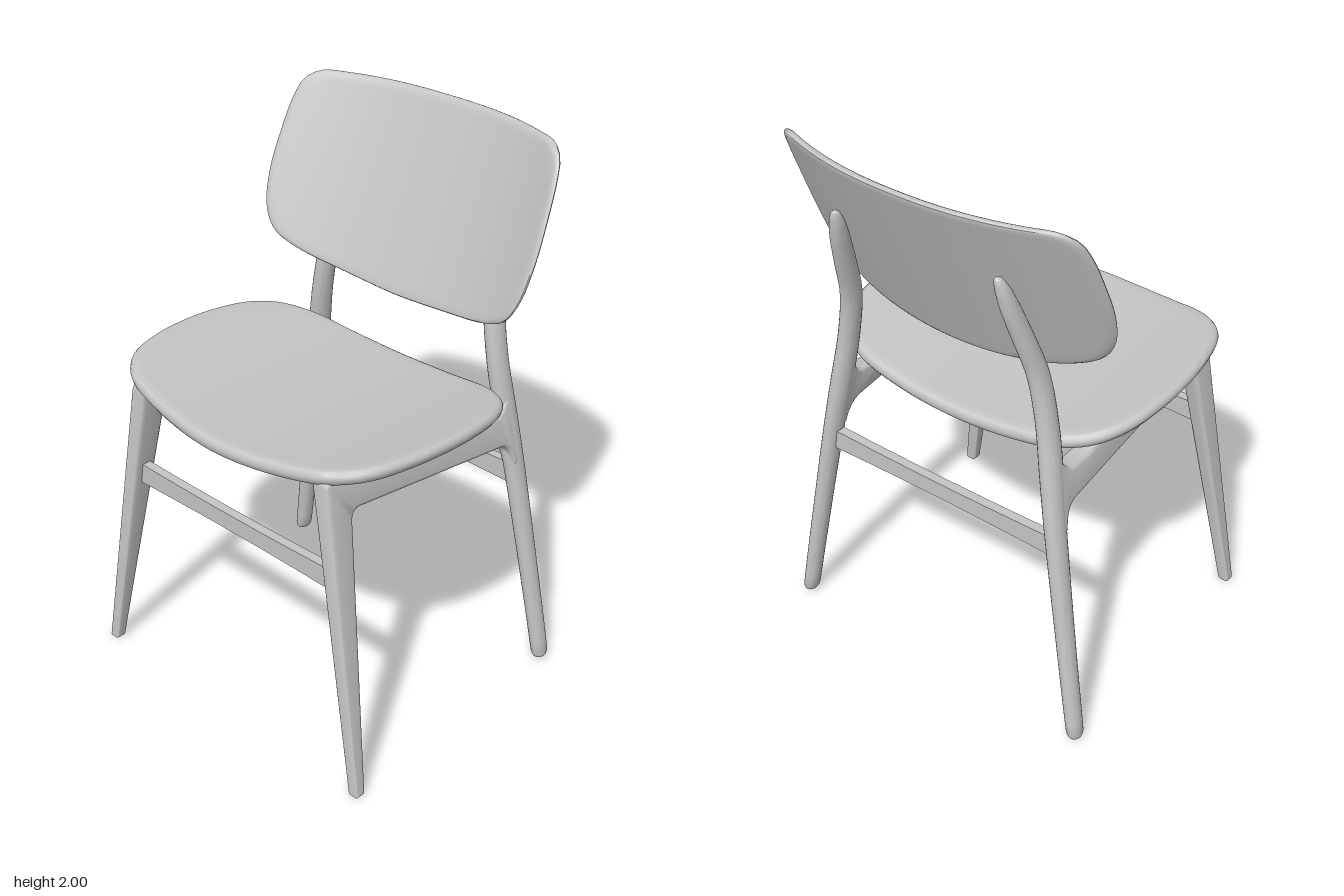
import * as THREE from 'three';
import { toCreasedNormals } from 'three/addons/utils/BufferGeometryUtils.js';

const V = (x, y, z) => new THREE.Vector3(x, y, z);

// Side frames lean inward in a straight line from foot to post tip
const leanX = (y) => 0.62 - 0.17 * y;

// Skin a stack of closed rings (each an array of Vector3)
function skin(rings) {
  const n = rings[0].length, index = [];
  for (let i = 0; i < rings.length - 1; i++) {
    for (let j = 0; j < n; j++) {
      const k = (j + 1) % n;
      const a = i * n + j, b = i * n + k, c = a + n, d = b + n;
      index.push(a, c, b, b, c, d);
    }
  }
  const geo = new THREE.BufferGeometry().setFromPoints(rings.flat());
  geo.setIndex(index);
  return toCreasedNormals(geo, 0.8);
}

// Thin bent panel: half outline (u, v) mirrored in u, thickness t runs 0..1,
// and place(u, v, t) bends it into space
function panel(half, centreV, place) {
  const other = half.slice(1, -1).reverse().map(([u, v]) => [-u, v]);
  const curve = new THREE.CatmullRomCurve3([...half, ...other].map(([u, v]) => V(u, v, 0)), true);
  const outline = curve.getSpacedPoints(112).slice(0, -1);
  const inner = [0.001, 0.15, 0.3, 0.45, 0.6, 0.72, 0.83, 0.91, 0.96];
  const rim = [[0.982, 0.08], [0.995, 0.28], [1, 0.5], [0.995, 0.72], [0.982, 0.92]];
  const steps = [...inner.map((s) => [s, 0]), ...rim, ...inner.map((s) => [s, 1]).reverse()];
  return skin(steps.map(([s, t]) =>
    outline.map((p) => place(p.x * s, centreV + (p.y - centreV) * s, t))));
}

// Back leg and post: stations of height, centre z, half depth, half width
function backLegGeometry(side) {
  const stations = [
    [0.012, -0.462, 0.028, 0.022], [0.03, -0.462, 0.034, 0.028], [0.45, -0.436, 0.038, 0.031],
    [0.85, -0.406, 0.043, 0.034], [1.05, -0.385, 0.045, 0.036], [1.23, -0.371, 0.043, 0.034],
    [1.4, -0.379, 0.042, 0.033], [1.55, -0.422, 0.04, 0.032], [1.66, -0.457, 0.036, 0.03],
    [1.74, -0.48, 0.026, 0.025], [1.78, -0.492, 0.014, 0.014], [1.79, -0.495, 0.002, 0.002],
  ];
  const centre = new THREE.CatmullRomCurve3(stations.map(([y, z]) => V(0, y, z)));
  const size = new THREE.CatmullRomCurve3(stations.map(([, , d, w]) => V(w, 0, d)));
  const rings = [];
  const ring = (t, s) => {
    const c = centre.getPoint(t), r = size.getPoint(t), pts = [];
    for (let j = 0; j < 24; j++) {
      const a = (j / 24) * Math.PI * 2;
      pts.push(V(side * leanX(c.y) + Math.cos(a) * r.x * s, c.y, c.z + Math.sin(a) * r.z * s));
    }
    rings.push(pts);
  };
  ring(0, 0.01);
  for (let i = 0; i <= 55; i++) ring(i / 55, 1);
  return skin(rings);
}

// Front leg and side rail cut from one board, drawn in (z, y)
function frontLegGeometry(side) {
  const s = new THREE.Shape();
  s.moveTo(0.522, 0);
  s.lineTo(0.56, 0);
  s.lineTo(0.517, 1.12);
  s.quadraticCurveTo(0.515, 1.15, 0.49, 1.15);
  s.lineTo(-0.1, 1.112);
  s.lineTo(-0.15, 1.075);
  s.quadraticCurveTo(-0.17, 1.042, -0.24, 1.038);
  s.lineTo(-0.31, 1.038);
  s.quadraticCurveTo(-0.345, 1.045, -0.365, 1.1);
  s.lineTo(-0.4, 1.1);
  s.lineTo(-0.4, 0.83);
  s.lineTo(-0.375, 0.83);
  s.quadraticCurveTo(-0.365, 0.91, -0.32, 0.92);
  s.lineTo(0.385, 1.01);
  s.quadraticCurveTo(0.415, 1.012, 0.42, 0.98);
  s.closePath();
  const bevel = 0.015;
  const geo = new THREE.ExtrudeGeometry(s, {
    depth: 0.036, bevelThickness: bevel, bevelSize: bevel, bevelOffset: -bevel,
    bevelSegments: 4, curveSegments: 8,
  });
  geo.translate(0, 0, -0.018);
  geo.rotateY(-Math.PI / 2);
  const p = geo.attributes.position;
  for (let i = 0; i < p.count; i++) {
    const y = p.getY(i);
    p.setX(i, side * leanX(y) + p.getX(i) * (0.75 + 0.28 * y));
  }
  return toCreasedNormals(geo, 0.7);
}

// Cross bar, slightly taller toward its ends
function stretcherGeometry() {
  const geo = new THREE.BoxGeometry(0.97, 0.064, 0.034, 16, 1, 1);
  const p = geo.attributes.position;
  for (let i = 0; i < p.count; i++) {
    p.setY(i, p.getY(i) * (1 + 0.25 * (p.getX(i) / 0.485) ** 2));
  }
  return toCreasedNormals(geo, 0.7);
}

export function createModel() {
  const group = new THREE.Group();
  const grey = new THREE.MeshStandardMaterial({ color: 0xc4c4c4 });
  grey.name = 'light grey';
  const add = (name, geo) => {
    const mesh = new THREE.Mesh(geo, grey);
    mesh.name = name;
    group.add(mesh);
    return mesh;
  };

  // Seat: dished across its width and sloping down to the back
  const seatOutline = [
    [0, -0.36], [0.25, -0.35], [0.42, -0.325], [0.53, -0.26], [0.59, -0.16], [0.617, -0.02],
    [0.622, 0.12], [0.605, 0.28], [0.56, 0.42], [0.47, 0.505], [0.3, 0.55], [0, 0.58],
  ];
  add('seat', panel(seatOutline, 0.1, (x, z, t) =>
    V(x, 1.145 + 0.08 * (x / 0.62) ** 2 - 0.05 * (0.58 - z) - 0.052 * (1 - t), z)));

  // Backrest: leaning back, wrapping forward at both sides
  const backOutline = [
    [0, 1.345], [0.25, 1.364], [0.43, 1.4], [0.53, 1.45], [0.578, 1.53], [0.597, 1.65],
    [0.594, 1.78], [0.58, 1.91], [0.56, 1.965], [0.51, 1.995], [0.42, 1.999], [0, 1.999],
  ];
  add('backrest', panel(backOutline, 1.68, (x, y, t) =>
    V(x, y, -0.295 - 0.4 * (y - 1.345) + 0.142 * (Math.abs(x) / 0.6) ** 2.3 - 0.03 * t)));

  // Side frames
  for (const [side, label] of [[1, 'left'], [-1, 'right']]) {
    add(label + 'BackLeg', backLegGeometry(side));
    add(label + 'FrontLegAndRail', frontLegGeometry(side));
  }

  // Cross bars between each pair of legs
  add('frontStretcher', stretcherGeometry()).position.set(0, 0.778, 0.483);
  add('backStretcher', stretcherGeometry()).position.set(0, 0.778, -0.411);

  return group;
}
